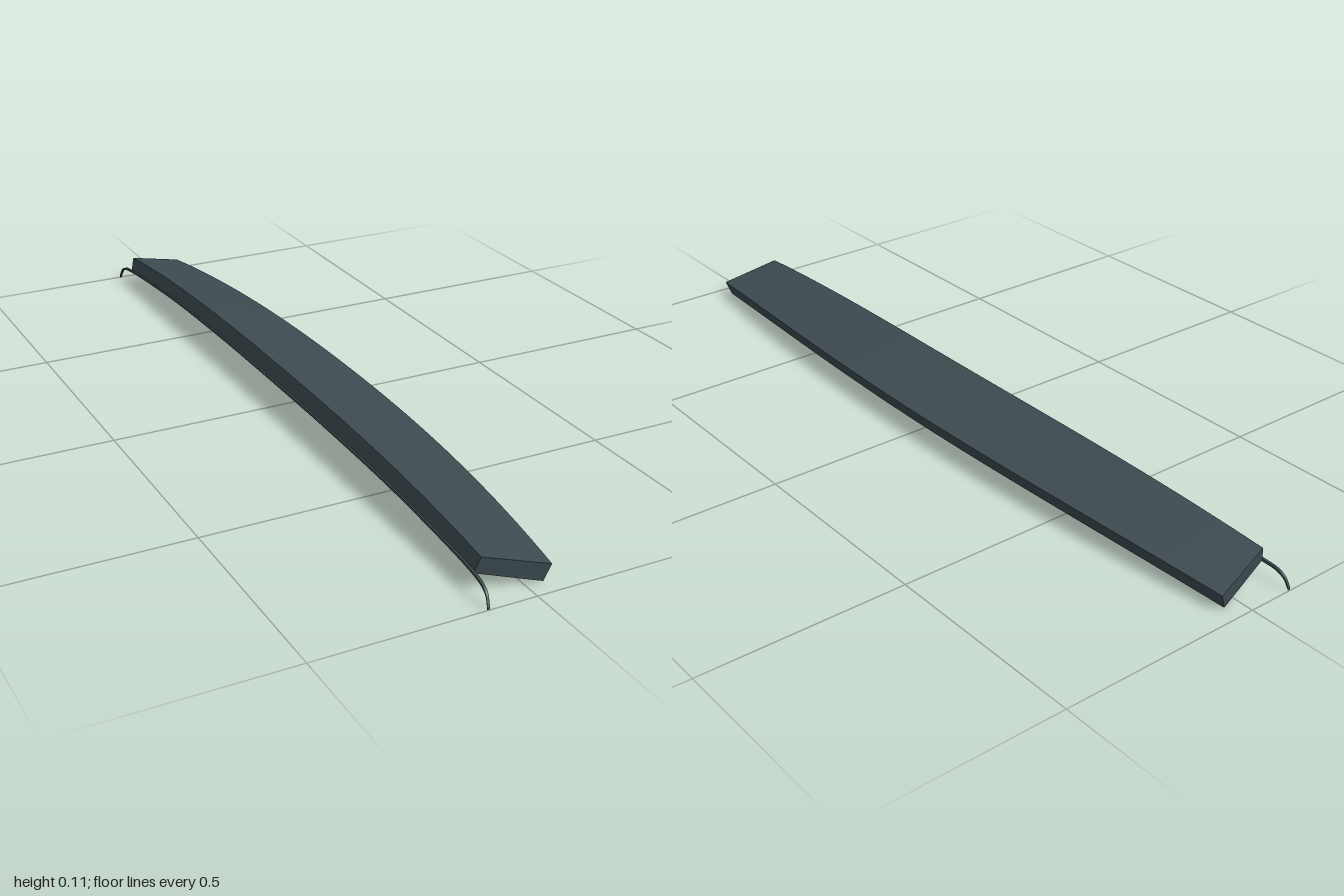
import * as THREE from 'three';

const material = new THREE.MeshStandardMaterial({ color: 0x3d4b50, side: THREE.DoubleSide });
const SEGMENTS = 48;

// A lengthwise edge: bows from its middle point to its end point, u from -1 to 1.
const rail = (mid, end, length) => (u) => new THREE.Vector3(
  THREE.MathUtils.lerp(mid[0], end[0], u * u),
  THREE.MathUtils.lerp(mid[1], end[1], Math.abs(u) ** 3),
  u * length
);

// Smooth skin between two edges.
function loft(p, q, segments = SEGMENTS) {
  const positions = [], index = [];
  for (let i = 0; i <= segments; i++) {
    const u = (2 * i) / segments - 1;
    positions.push(...p(u).toArray(), ...q(u).toArray());
    const a = 2 * i;
    if (i < segments) index.push(a, a + 1, a + 2, a + 1, a + 3, a + 2);
  }
  const geometry = new THREE.BufferGeometry();
  geometry.setAttribute('position', new THREE.Float32BufferAttribute(positions, 3));
  geometry.setIndex(index);
  geometry.computeVertexNormals();
  return geometry;
}

// Flat four-cornered cap.
function quad(corners) {
  const geometry = new THREE.BufferGeometry().setFromPoints(corners);
  geometry.setIndex([0, 1, 2, 0, 2, 3]);
  geometry.computeVertexNormals();
  return geometry;
}

export function createModel() {
  const model = new THREE.Group();
  model.name = 'spoiler';
  const add = (parent, name, geometry) => {
    const mesh = new THREE.Mesh(geometry, material);
    mesh.name = name;
    parent.add(mesh);
  };

  // Edges of the hollow blade, open underneath
  const topInner = rail([-0.075, 0.109], [-0.092, 0.08], 0.935);
  const topOuter = rail([0.115, 0.067], [0.055, 0.041], 0.965);
  const bottomOuter = rail([0.1, 0.03], [0.04, 0.003], 0.96);
  const bottomInner = rail([-0.088, 0.071], [-0.102, 0.042], 0.928);

  const blade = new THREE.Group();
  blade.name = 'blade';
  add(blade, 'topSkin', loft(topOuter, topInner));
  add(blade, 'outerWall', loft(bottomOuter, topOuter));
  add(blade, 'innerWall', loft(topInner, bottomInner));
  const ring = [bottomInner, bottomOuter, topOuter, topInner];
  add(blade, 'frontEndWall', quad(ring.map((edge) => edge(1))));
  add(blade, 'backEndWall', quad(ring.map((edge) => edge(-1)).reverse()));
  model.add(blade);

  // Thin sealing strip along the inner wall, its tails curling down past the ends
  const half = [
    [-0.089, 0.07, 0], [-0.09, 0.069, 0.3], [-0.094, 0.064, 0.6], [-0.1, 0.05, 0.86],
    [-0.103, 0.044, 0.93], [-0.106, 0.039, 0.965], [-0.108, 0.028, 0.985], [-0.111, 0.005, 0.998]
  ].map((p) => new THREE.Vector3(...p));
  const mirrored = half.slice(1).reverse().map((p) => new THREE.Vector3(p.x, p.y, -p.z));
  const path = new THREE.CatmullRomCurve3([...mirrored, ...half]);
  const strip = new THREE.Group();
  strip.name = 'sealingStrip';
  const edges = [[-1, -1], [1, -1], [1, 1], [-1, 1]].map(([dx, dy]) => (u) =>
    path.getPoint((u + 1) / 2).add(new THREE.Vector3(dx * 0.003, dy * 0.003, 0)));
  edges.forEach((edge, i) => add(strip, 'stripSide', loft(edge, edges[(i + 1) % 4], 112)));
  add(strip, 'stripEnd', quad(edges.map((edge) => edge(1))));
  add(strip, 'stripEnd', quad(edges.map((edge) => edge(-1)).reverse()));
  model.add(strip);

  return model;
}
